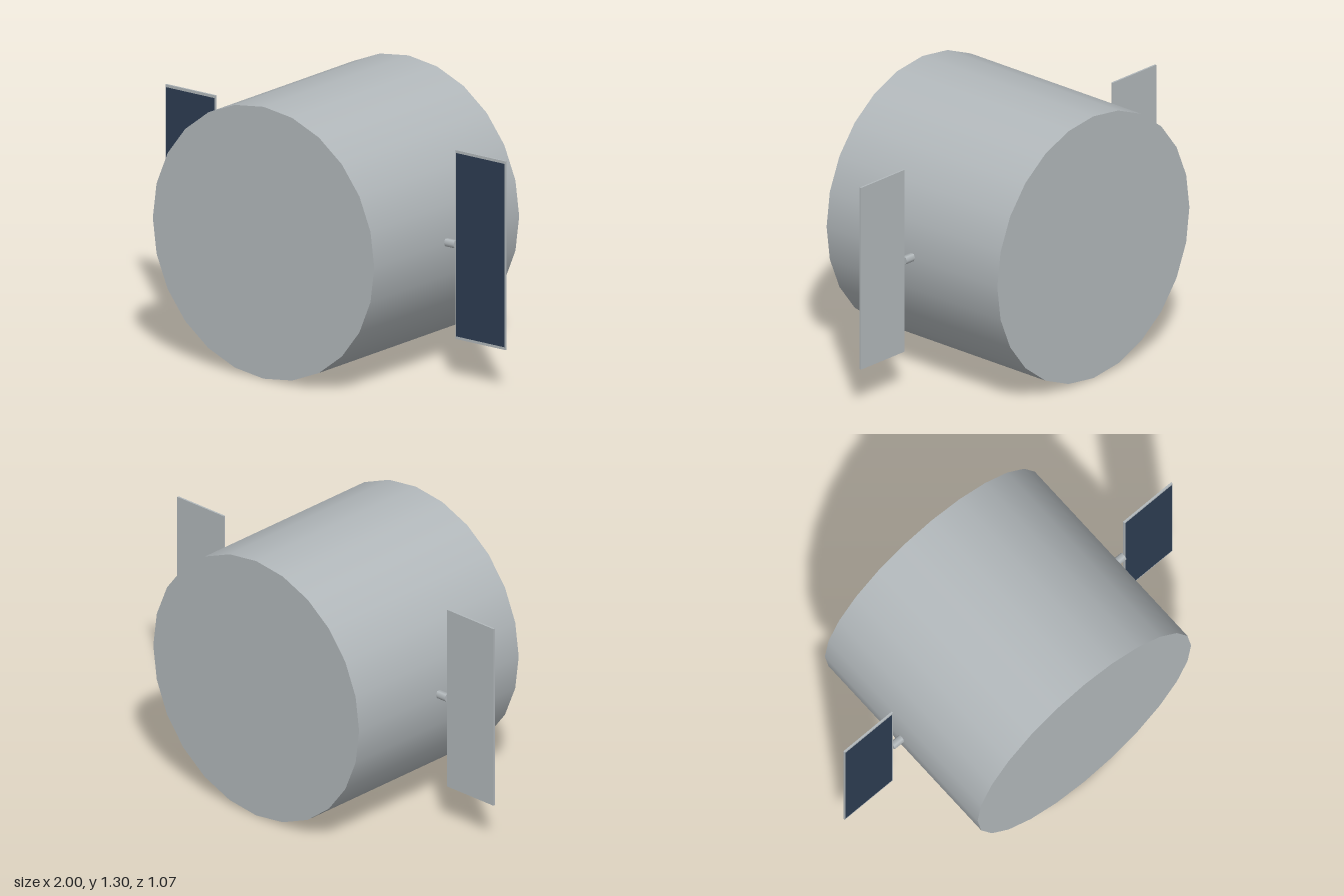
import * as THREE from 'three';

const hullGrey = new THREE.MeshStandardMaterial({ name: 'hull grey', color: 0xb2b8bb });
const panelNavy = new THREE.MeshStandardMaterial({ name: 'panel navy', color: 0x2d3c52 });

const R = 0.651; // hull radius, also the height of its axis

function add(parent, name, geometry, material, x, y, z) {
  const mesh = new THREE.Mesh(geometry, material);
  mesh.name = name;
  mesh.position.set(x, y, z);
  parent.add(mesh);
  return mesh;
}

export function createModel() {
  const model = new THREE.Group();
  model.name = 'satellite';

  // Drum-shaped hull lying along z
  const hull = new THREE.CylinderGeometry(R, R, 1.066, 24).rotateX(Math.PI / 2);
  add(model, 'hull', hull, hullGrey, 0, R, 0);

  // One wing on each side: strut, thin panel and dark cell sheet on the front
  for (const [side, s] of [['left', 1], ['right', -1]]) {
    const wing = new THREE.Group();
    wing.name = side + 'Wing';
    model.add(wing);
    const strut = new THREE.CylinderGeometry(0.02, 0.02, 0.075, 6).rotateZ(Math.PI / 2);
    add(wing, 'strut', strut, hullGrey, s * 0.668, R, 0);
    add(wing, 'panel', new THREE.BoxGeometry(0.295, 0.904, 0.009), hullGrey, s * 0.8525, R, 0);
    add(wing, 'solarCells', new THREE.BoxGeometry(0.283, 0.878, 0.002), panelNavy, s * 0.8525, R, 0.0045);
  }
  return model;
}
